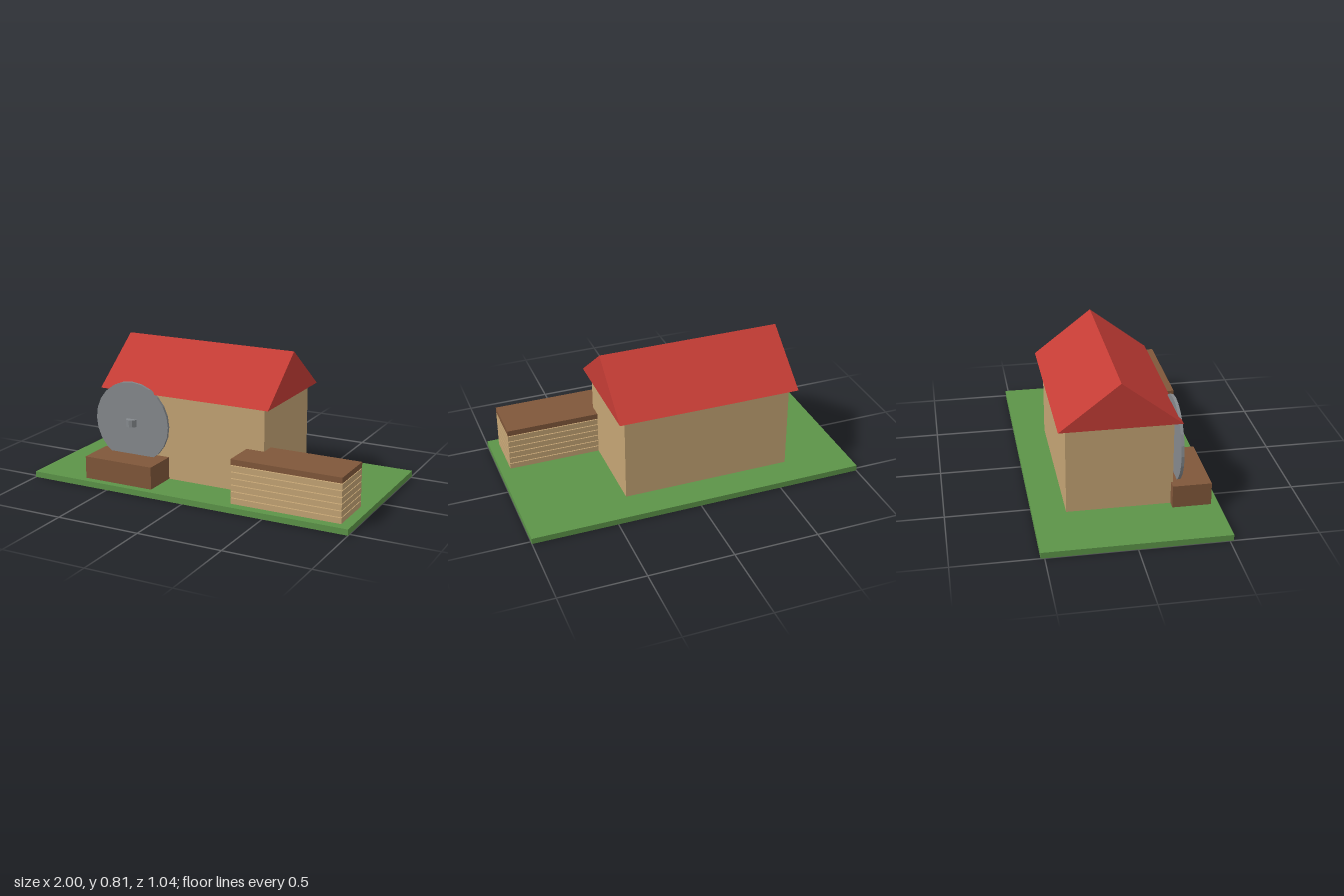
import * as THREE from 'three';

const material = (color) => new THREE.MeshStandardMaterial({ color, flatShading: true });
const grass = material(0x5c9448);
const tan = material(0xc4a474);
const red = material(0xc43c35);
const brown = material(0x80573a);
const steel = material(0x85898d);

export function createModel() {
  const model = new THREE.Group();
  model.name = 'sawmill';

  const add = (name, geometry, mat, x = 0, y = 0, z = 0) => {
    const mesh = new THREE.Mesh(geometry, mat);
    mesh.name = name;
    mesh.position.set(x, y, z);
    model.add(mesh);
    return mesh;
  };
  // Box given by its minimum and maximum on each axis
  const box = (name, mat, [x0, x1], [y0, y1], [z0, z1]) =>
    add(name, new THREE.BoxGeometry(x1 - x0, y1 - y0, z1 - z0), mat,
      (x0 + x1) / 2, (y0 + y1) / 2, (z0 + z1) / 2);

  const ground = 0.035;
  box('groundSlab', grass, [-1, 1], [0, ground], [-0.522, 0.522]);
  box('houseWalls', tan, [-0.615, 0.39], [ground, 0.547], [-0.333, 0.268]);

  // Gable roof: triangle in the z-y plane, extruded along x
  const gable = new THREE.Shape();
  gable.moveTo(-0.31, 0.547);
  gable.lineTo(0.375, 0.547);
  gable.lineTo(0.0325, 0.812);
  gable.closePath();
  const roof = new THREE.ExtrudeGeometry(gable, { depth: 1.085, bevelEnabled: false });
  roof.rotateY(Math.PI / 2);
  add('roof', roof, red, -0.655, 0, 0);

  // Saw bench with the circular blade and its hub
  box('sawBench', brown, [-0.667, -0.225], [ground, 0.168], [0.257, 0.478]);
  const blade = new THREE.CylinderGeometry(0.243, 0.243, 0.017, 24);
  blade.rotateX(Math.PI / 2);
  add('sawBlade', blade, steel, -0.447, 0.362, 0.3035);
  add('sawHub', new THREE.CylinderGeometry(0.0335, 0.0335, 0.043, 10), steel, -0.447, 0.3615, 0.3135);

  // Stack of planks with narrow gaps and a darker one on top
  for (let i = 0; i < 7; i++) {
    const y = ground + i * 0.038;
    box(i < 6 ? 'plank' : 'topPlank', i < 6 ? tan : brown,
      [0.28, 0.94], [y, y + 0.033], [0.18, 0.468]);
  }

  return model;
}
